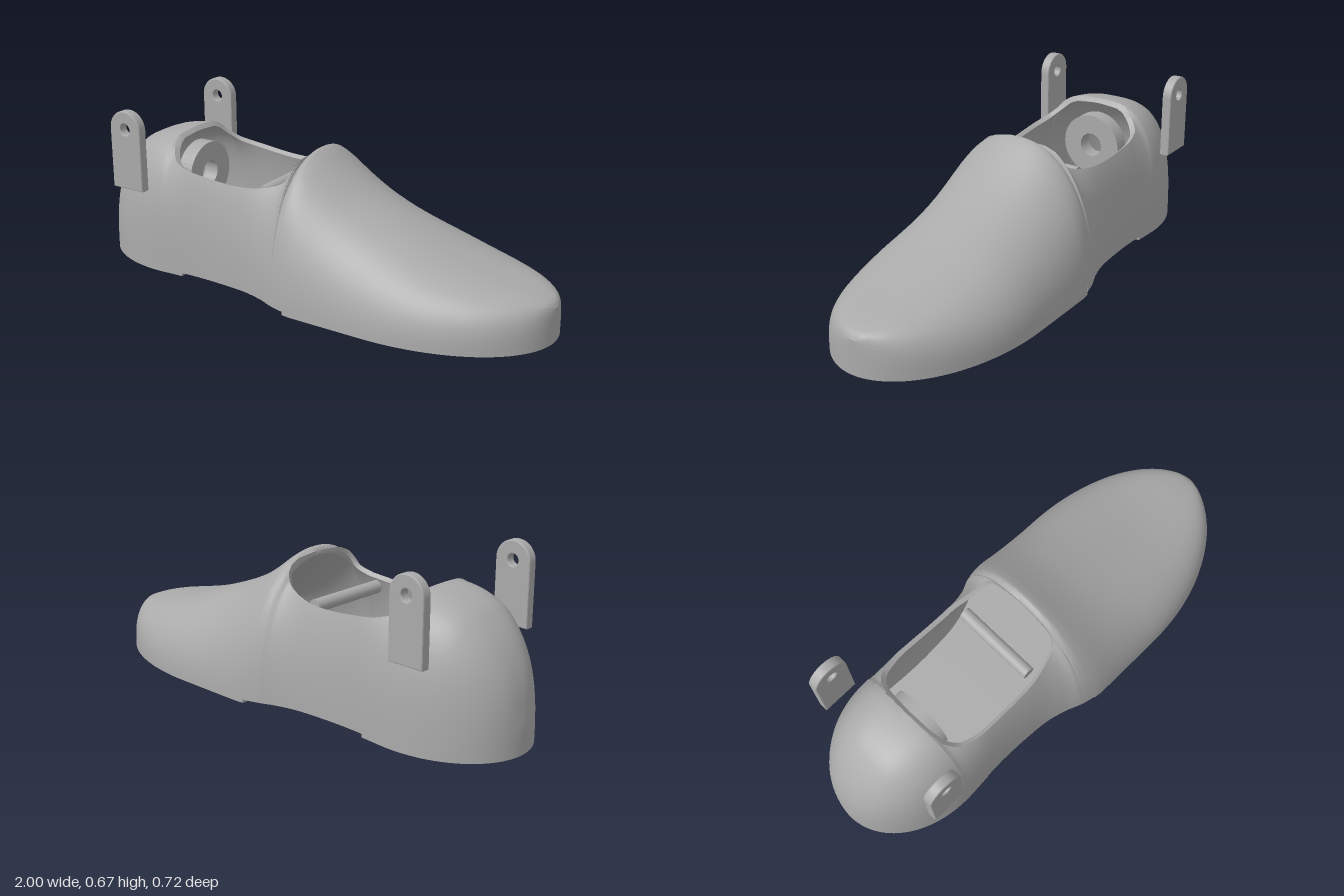
import * as THREE from 'three';
import { toCreasedNormals } from 'three/addons/utils/BufferGeometryUtils.js';

const grey = new THREE.MeshStandardMaterial({ color: 0xaaaaaa });
grey.name = 'matte grey';

// Smooth monotone curve through [x, value] pairs
function curve(pts) {
  const slope = (i) => (pts[i + 1][1] - pts[i][1]) / (pts[i + 1][0] - pts[i][0]);
  const tangent = (i) => {
    if (i === 0) return slope(0);
    if (i === pts.length - 1) return slope(i - 1);
    const a = slope(i - 1), b = slope(i);
    return a * b <= 0 ? 0 : (2 * a * b) / (a + b);
  };
  return (x) => {
    let i = 0;
    while (i < pts.length - 2 && x > pts[i + 1][0]) i++;
    const w = pts[i + 1][0] - pts[i][0];
    const t = THREE.MathUtils.clamp((x - pts[i][0]) / w, 0, 1);
    const t2 = t * t, t3 = t2 * t;
    return (2 * t3 - 3 * t2 + 1) * pts[i][1] + (t3 - 2 * t2 + t) * w * tangent(i)
      + (3 * t2 - 2 * t3) * pts[i + 1][1] + (t3 - t2) * w * tangent(i + 1);
  };
}

// Height of the ridge, or of the rim where the shoe is open
const edgeHeight = curve([
  [-1, 0.1], [-0.98, 0.23], [-0.95, 0.32], [-0.9, 0.405], [-0.85, 0.46], [-0.8, 0.5], [-0.7, 0.535],
  [-0.62, 0.545], [-0.6, 0.5], [-0.55, 0.455], [-0.45, 0.435], [-0.25, 0.42], [-0.12, 0.435],
  [-0.05, 0.465], [-0.03, 0.505], [-0.018, 0.55], [0, 0.565], [0.02, 0.555], [0.1, 0.495],
  [0.2, 0.43], [0.3, 0.38], [0.4, 0.338], [0.5, 0.3], [0.6, 0.265], [0.7, 0.235], [0.8, 0.21],
  [0.9, 0.188], [0.98, 0.162], [1, 0.14],
]);
// Half-width of the foot opening
const rimWidth = curve([
  [-0.62, 0], [-0.615, 0.11], [-0.6, 0.165], [-0.55, 0.212], [-0.45, 0.23], [-0.2, 0.225],
  [-0.1, 0.205], [-0.05, 0.19], [-0.03, 0.175], [-0.022, 0.13], [-0.018, 0],
]);
// Squareness of the cross-section
const squareness = curve([[-1, 2.6], [-0.65, 3], [-0.3, 2.5], [0, 2.2], [0.3, 2.1], [0.6, 2.4], [0.9, 3.2], [1, 3.5]]);
const waist = curve([[-0.62, 0.285], [-0.4, 0.275], [-0.2, 0.285], [-0.1, 0.307], [0, 0.345], [0.08, 0.36], [0.4, 0.362]]);

function halfWidth(x) {
  if (x < -0.62) return 0.285 * Math.max(0, 1 - ((-0.62 - x) / 0.38) ** 2.1) ** 0.5;
  if (x > 0.4) return 0.362 * Math.max(0, 1 - ((x - 0.4) / 0.6) ** 2) ** 0.5;
  return waist(x);
}

// Closed loop at one station: outer wall, sole, outer wall, then the inner lining back
function section(x, steps) {
  const W = halfWidth(x), n = squareness(x);
  const rim = x > -0.62 && x < -0.018 ? rimWidth(x) : 0;
  const ratio = W > 1e-4 ? rim / W : 0;
  const top = edgeHeight(x) / (1 - ratio ** n) ** (1 / n);
  const end = Math.acos(ratio ** (n / 2));
  const base = x > -0.5 && x < 0.045 ? 0.014 : 0;
  const half = [];
  for (let k = steps; k >= 0; k--) {
    const a = (end * k) / steps;
    half.push([
      W * Math.max(0, Math.cos(a)) ** (2 / n),
      Math.max(base, top * Math.sin(a) ** (2 / n)),
    ]);
  }
  const outer = [
    ...half.map(([z, y]) => [x, y, z]),
    ...half.slice().reverse().map(([z, y]) => [x, y, -z]),
  ];
  const inner = outer.slice().reverse().map((p) => [p[0] * 0.975, Math.max(0.04, p[1] * 0.97), p[2] * 0.93]);
  return [...outer, ...inner];
}

function shoeGeometry() {
  // Stations crowd at the toe, the heel, both ends of the opening and the arch steps
  const xs = [-0.5001, -0.48, 0.03, 0.0451, -0.4999, 0.0449];
  for (let i = 0; i <= 80; i++) xs.push(-Math.cos((Math.PI * i) / 80));
  for (let i = 0; i <= 8; i++) {
    const t = (i / 8) ** 2;
    xs.push(-0.62 + 0.07 * t, -0.018 - 0.05 * t);
  }
  for (let i = 1; i < 6; i++) xs.push(-0.018 + i * 0.01);
  xs.sort((a, b) => a - b);
  const rings = xs.map((x) => section(x, 22));
  const count = rings[0].length;
  const index = [];
  for (let i = 0; i < rings.length - 1; i++) {
    for (let j = 0; j < count; j++) {
      const k = (j + 1) % count;
      const a = i * count + j, b = i * count + k;
      index.push(a, b, a + count, b, b + count, a + count);
    }
  }
  const geo = new THREE.BufferGeometry();
  geo.setAttribute('position', new THREE.Float32BufferAttribute(rings.flat(2), 3));
  geo.setIndex(index);
  return toCreasedNormals(geo, 0.75);
}

// Upright tab with a round top and a pivot hole
function bracketGeometry() {
  const r = 0.07, bevel = 0.005;
  const shape = new THREE.Shape();
  shape.moveTo(-r, 0.348);
  shape.lineTo(r, 0.348);
  shape.lineTo(r, 0.593);
  shape.absarc(0, 0.593, r, 0, Math.PI, false);
  shape.closePath();
  const hole = new THREE.Path();
  hole.absarc(0, 0.593, 0.028, 0, Math.PI * 2, true);
  shape.holes.push(hole);
  return new THREE.ExtrudeGeometry(shape, {
    depth: 0.03, bevelThickness: bevel, bevelSize: bevel, bevelSegments: 2, curveSegments: 20,
  }).translate(0, 0, -0.015);
}

// Thick washer whose axis runs along x
function collarGeometry() {
  const shape = new THREE.Shape();
  shape.absarc(0, 0, 0.13, 0, Math.PI * 2, false);
  const hole = new THREE.Path();
  hole.absarc(0, 0, 0.05, 0, Math.PI * 2, true);
  shape.holes.push(hole);
  return new THREE.ExtrudeGeometry(shape, { depth: 0.065, bevelEnabled: false, curveSegments: 24 })
    .rotateY(Math.PI / 2);
}

export function createModel() {
  const group = new THREE.Group();
  group.name = 'shoe';
  const add = (name, geo, x, y, z) => {
    const mesh = new THREE.Mesh(geo, grey);
    mesh.name = name;
    mesh.position.set(x, y, z);
    group.add(mesh);
    return mesh;
  };

  add('shoeShell', shoeGeometry(), 0, 0, 0);

  // Ankle brackets on both sides of the heel
  const bracket = bracketGeometry();
  add('ankleBracketFront', bracket, -0.725, 0, 0.3);
  add('ankleBracketBack', bracket, -0.725, 0, -0.3);

  // Fittings inside the opening
  add('heelCollar', collarGeometry(), -0.62, 0.355, 0);
  add('crossRod', new THREE.CylinderGeometry(0.026, 0.026, 0.35, 24).rotateX(Math.PI / 2), -0.163, 0.395, 0);
  return group;
}
